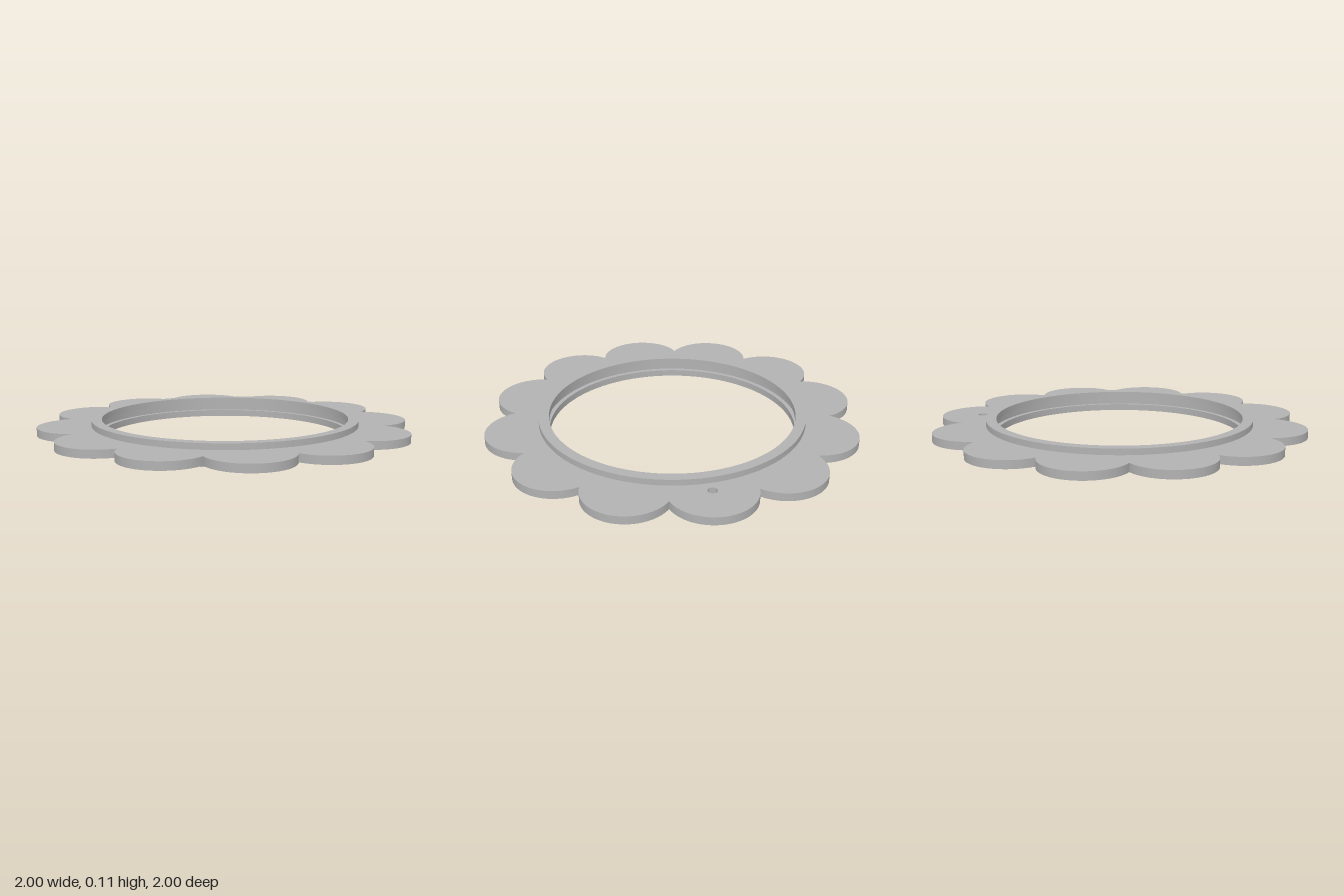
import * as THREE from 'three';
import { toCreasedNormals } from 'three/addons/utils/BufferGeometryUtils.js';

export function createModel() {
  const group = new THREE.Group();
  const grey = new THREE.MeshStandardMaterial({ color: 0xb2b2b2 });
  grey.name = 'grey';

  const add = (name, geometry) => {
    const mesh = new THREE.Mesh(toCreasedNormals(geometry, 0.6), grey);
    mesh.name = name;
    group.add(mesh);
  };
  const circleHole = (y, r) => new THREE.Path().absarc(0, y, r, 0, Math.PI * 2, true);

  // Flat plate scalloped into twelve round petals, with a hanging hole at the back
  const petals = 12, centre = 0.777, radius = 1 - centre;
  const sweep = Math.atan2(0.219, 0.04);
  const outline = new THREE.Shape();
  for (let i = 0; i < petals; i++) {
    const a = (i / petals) * Math.PI * 2;
    outline.absarc(centre * Math.cos(a), centre * Math.sin(a), radius, a - sweep, a + sweep, false);
  }
  outline.closePath();
  outline.holes.push(circleHole(0, 0.705), circleHole(0.78, 0.025));
  const plate = new THREE.ExtrudeGeometry(outline, { depth: 0.043, bevelEnabled: false, curveSegments: 40 });
  plate.rotateX(-Math.PI / 2).translate(0, 0.038, 0);
  add('petalPlate', plate);

  // Raised rim standing proud on both faces, with a groove around its inner wall
  const profile = [
    [0.66, 0], [0.715, 0], [0.715, 0.113], [0.66, 0.113],
    [0.66, 0.078], [0.685, 0.078], [0.685, 0.036], [0.66, 0.036], [0.66, 0],
  ].map(([r, y]) => new THREE.Vector2(r, y));
  add('groovedRim', new THREE.LatheGeometry(profile, 128));

  return group;
}
